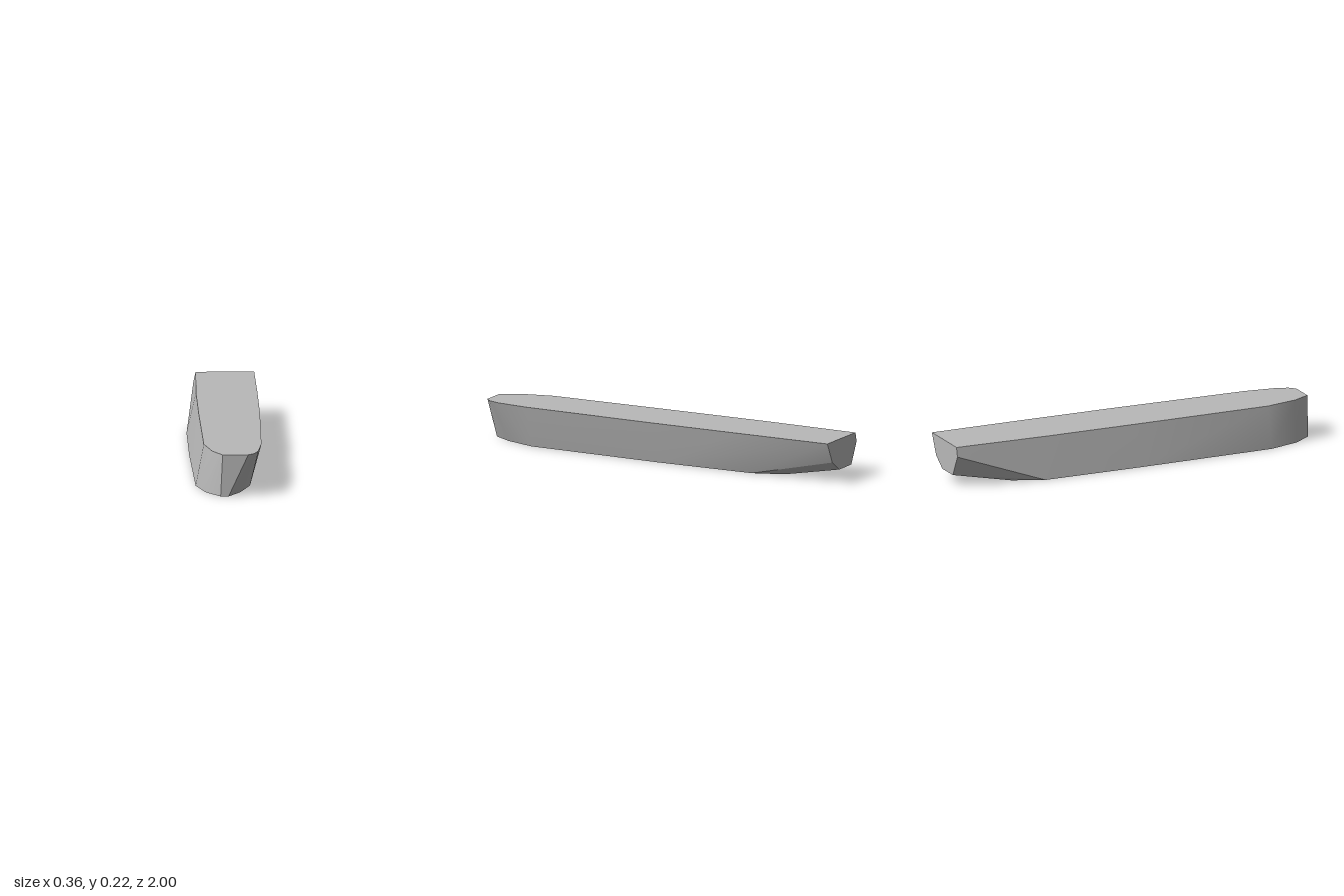
import * as THREE from 'three';
import { ConvexGeometry } from 'three/addons/geometries/ConvexGeometry.js';
import { toCreasedNormals } from 'three/addons/utils/BufferGeometryUtils.js';

const HEIGHT = 0.215;

// Outline stations as [z, right x, left x], stern to bow
const deck = [
  [-0.5, -0.133, 0.178],
  [0, -0.13, 0.18],
  [0.74, -0.12, 0.172],
  [0.91, -0.08, 0.153],
  [0.97, -0.047, 0.132],
  [1, -0.03, 0.1],
];
const keel = [
  [-0.69, -0.113, 0.053],
  [-0.53, -0.18, 0.112],
  [0, -0.178, 0.125],
  [0.74, -0.161, 0.114],
  [0.9, -0.112, 0.061],
  [1, -0.04, 0],
];
// Flat stern panel as [x, y]
const stern = [
  [0.172, HEIGHT], [0.12, 0.108], [0.045, 0.057],
  [-0.08, 0.058], [-0.135, 0.167], [-0.124, HEIGHT],
];

const outline = (stations, y) => stations.flatMap(([z, a, b]) =>
  [new THREE.Vector3(a, y, z), new THREE.Vector3(b, y, z)]);

export function createModel() {
  const group = new THREE.Group();
  group.name = 'leaningHull';

  const grey = new THREE.MeshStandardMaterial({ color: 0xb8b8b8 });
  grey.name = 'plain grey';

  // Solid hull with a leaning cross-section, rounded bow and raised stern
  const points = [
    ...outline(deck, HEIGHT),
    ...outline(keel, 0),
    ...stern.map(([x, y]) => new THREE.Vector3(x, y, -1)),
  ];
  const hull = new THREE.Mesh(toCreasedNormals(new ConvexGeometry(points), 0.45), grey);
  hull.name = 'hull';
  group.add(hull);
  return group;
}
